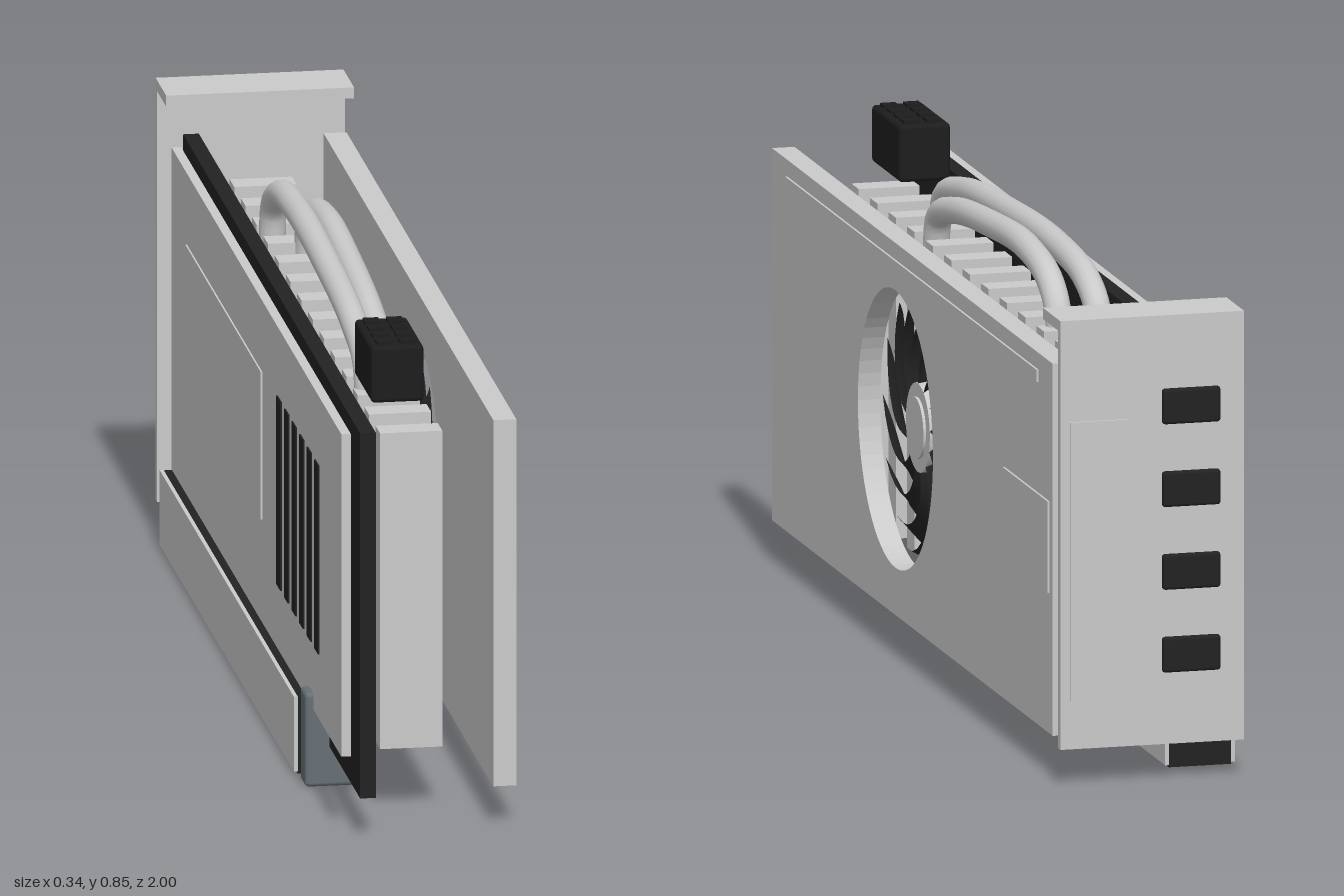
import * as THREE from 'three';
import { RoundedBoxGeometry } from 'three/addons/geometries/RoundedBoxGeometry.js';

const mat = (name, color, side = THREE.FrontSide) =>
  Object.assign(new THREE.MeshStandardMaterial({ color, side }), { name });

export function createModel() {
  const silver = mat('silver', 0xcacaca);
  const black = mat('black', 0x222222);
  const blade = mat('fan black', 0x232323, THREE.DoubleSide);
  const plastic = mat('connector black', 0x1d1d1d);
  const slate = mat('slate', 0x667076);

  const model = new THREE.Group();
  model.name = 'graphicsCard';
  const add = (name, geometry, material, parent = model) => {
    const mesh = new THREE.Mesh(geometry, material);
    mesh.name = name;
    parent.add(mesh);
    return mesh;
  };
  // Box given by its limits on each axis, with optional rounded edges
  const box = (name, material, [x0, x1], [y0, y1], [z0, z1], radius = 0) => {
    const size = [x1 - x0, y1 - y0, z1 - z0];
    const geometry = radius ? new RoundedBoxGeometry(...size, 2, radius) : new THREE.BoxGeometry(...size);
    geometry.translate((x0 + x1) / 2, (y0 + y1) / 2, (z0 + z1) / 2);
    return add(name, geometry, material);
  };

  // Circuit board and backplate
  box('circuitBoard', black, [-0.122, -0.094], [0.077, 0.745], [-0.95, 1]);
  box('backplate', silver, [-0.15, -0.133], [0.145, 0.735], [-0.905, 0.965]);
  box('backplateLabel', silver, [-0.153, -0.15], [0.335, 0.605], [-0.735, 0.095]);
  for (let i = 0; i < 6; i++) {
    const z = 0.289 + i * 0.083;
    box('backplateVent', black, [-0.153, -0.149], [0.265, 0.61], [z - 0.022, z + 0.022]);
  }

  // Front shroud with a round opening for the fan
  const fanY = 0.412, fanZ = 0.138;
  const outline = new THREE.Shape([
    new THREE.Vector2(-0.96, 0.077), new THREE.Vector2(0.91, 0.077),
    new THREE.Vector2(0.91, 0.747), new THREE.Vector2(-0.96, 0.747),
  ]);
  outline.holes.push(new THREE.Path().absarc(-fanZ, fanY, 0.25, 0, Math.PI * 2, true));
  const shroud = new THREE.ExtrudeGeometry(outline, { depth: 0.041, bevelEnabled: false, curveSegments: 32 });
  shroud.rotateY(Math.PI / 2).translate(0.122, 0, 0);
  add('shroud', shroud, silver);
  box('shroudLabel', silver, [0.163, 0.167], [0.33, 0.495], [-0.89, -0.59]);
  box('shroudTrim', silver, [0.163, 0.167], [0.695, 0.717], [-0.815, 0.86]);

  // Fan, built around the x axis
  const fan = new THREE.Group();
  fan.name = 'fan';
  fan.position.set(0, fanY, fanZ);
  model.add(fan);
  const disc = (name, radius, x0, x1) => add(name,
    new THREE.CylinderGeometry(radius, radius, x1 - x0, 32).rotateZ(-Math.PI / 2).translate((x0 + x1) / 2, 0, 0),
    silver, fan);
  disc('fanHub', 0.08, 0.098, 0.122);
  disc('fanHubCap', 0.055, 0.122, 0.127);
  const bladeCount = 13, pitch = Math.PI * 2 / bladeCount;
  const bladeGeometry = new THREE.PlaneGeometry(1, 1, 4, 10);
  const p = bladeGeometry.attributes.position;
  for (let i = 0; i < p.count; i++) {
    const across = p.getX(i) + 0.5, t = p.getY(i) + 0.5;
    const r = 0.072 + t * 0.163;
    const angle = -0.75 * t * t - 0.15 * t + across * pitch * (0.95 - 0.1 * t);
    const depth = 0.037 - 0.008 * t * t;
    p.setXYZ(i, 0.122 - depth * across * (1.4 - 0.4 * across), r * Math.cos(angle), r * Math.sin(angle));
  }
  bladeGeometry.computeVertexNormals();
  for (let i = 0; i < bladeCount; i++) add('fanBlade', bladeGeometry, blade, fan).rotation.x = i * pitch;

  // Heatsink fins
  for (let i = 0; i < 14; i++) {
    const z = -0.782 + i * 0.1235;
    box('heatsinkFin', silver, [-0.062, 0.049], [0.122, 0.7], [z - 0.025, z + 0.025]);
  }

  // Heat pipes arching over the fins
  const pipe = (x, points) => {
    const curve = new THREE.CatmullRomCurve3(points.map(([y, z]) => new THREE.Vector3(x, y, z)));
    add('heatPipe', new THREE.TubeGeometry(curve, 60, 0.024, 14), silver);
  };
  pipe(-0.036, [[0.66, 0.555], [0.735, 0.535], [0.775, 0.4], [0.8, 0.1], [0.807, -0.2], [0.785, -0.41], [0.74, -0.485], [0.66, -0.5]]);
  pipe(0.01, [[0.66, 0.43], [0.73, 0.405], [0.763, 0.3], [0.79, 0.05], [0.798, -0.18], [0.77, -0.33], [0.725, -0.385], [0.66, -0.395]]);

  // Power socket with two rows of pin sleeves
  box('powerSocket', plastic, [-0.072, 0.022], [0.745, 0.848], [0.625, 0.815], 0.008);
  for (let i = 0; i < 4; i++) {
    for (const x of [-0.046, -0.004]) {
      const z = 0.654 + i * 0.044;
      box('powerPin', plastic, [x - 0.014, x + 0.014], [0.845, 0.853], [z - 0.014, z + 0.014]);
    }
  }

  // Edge connector with a contact strip on each side, and its retaining clip
  box('edgeConnector', black, [-0.165, -0.052], [0.006, 0.146], [-0.9, 0.578]);
  box('contactStrip', silver, [-0.172, -0.165], [0.01, 0.147], [-0.9, 0.578]);
  box('contactStrip', silver, [-0.052, -0.045], [0.01, 0.147], [-0.9, 0.578]);
  box('retainingClip', slate, [-0.165, -0.052], [0.003, 0.175], [0.604, 0.66], 0.008);

  // Mounting bracket with its folded lip, ports and label
  box('bracketPlate', silver, [-0.165, 0.17], [0.068, 0.84], [-0.987, -0.972]);
  box('bracketLip', silver, [-0.165, 0.17], [0.82, 0.84], [-0.972, -0.87]);
  box('bracketLabel', silver, [0.047, 0.153], [0.155, 0.657], [-0.991, -0.987]);
  for (let i = 0; i < 4; i++) {
    const y = 0.23 + i * 0.149;
    box('displayPort', black, [-0.12, -0.014], [y - 0.032, y + 0.032], [-1, -0.985], 0.006);
  }
  return model;
}
